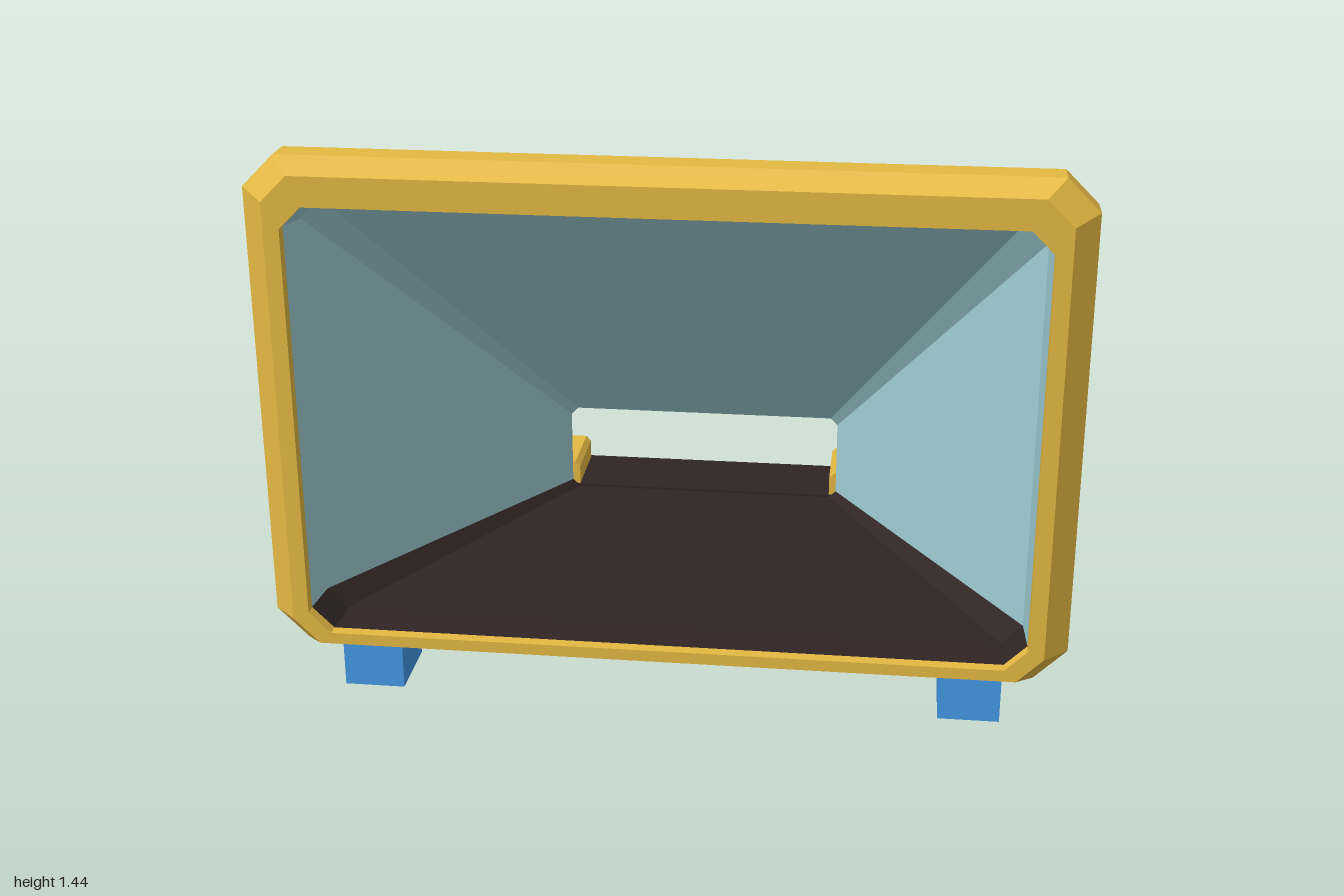
import * as THREE from 'three';

const mat = (name, color) => {
  const m = new THREE.MeshStandardMaterial({ color, side: THREE.DoubleSide, flatShading: true });
  m.name = name;
  return m;
};

// Rectangle with cut corners at depth z: eight points, bottom edge first
function ring(z, hw, y0, y1, c) {
  return [
    [-hw + c, y0, z], [hw - c, y0, z], [hw, y0 + c, z], [hw, y1 - c, z],
    [hw - c, y1, z], [-hw + c, y1, z], [-hw, y1 - c, z], [-hw, y0 + c, z],
  ];
}

// Skin joining successive rings (listed back to front), limited to chosen sides
function loft(rings, sides = [0, 1, 2, 3, 4, 5, 6, 7]) {
  const pos = [];
  for (let r = 0; r < rings.length - 1; r++) {
    const a = rings[r], b = rings[r + 1];
    for (const i of sides) {
      const j = (i + 1) % 8;
      pos.push(...a[i], ...a[j], ...b[j], ...a[i], ...b[j], ...b[i]);
    }
  }
  const g = new THREE.BufferGeometry();
  g.setAttribute('position', new THREE.Float32BufferAttribute(pos, 3));
  g.computeVertexNormals();
  return g;
}

// Flat polygon with softened corners, laid onto a surface by a mapping rule
function panel(points, map, r = 0.02) {
  const p = points.map(([x, y]) => new THREE.Vector2(x, y));
  const s = new THREE.Shape();
  p.forEach((v, i) => {
    const prev = p[(i + p.length - 1) % p.length], next = p[(i + 1) % p.length];
    const a = v.clone().add(prev.clone().sub(v).setLength(r));
    const b = v.clone().add(next.clone().sub(v).setLength(r));
    if (i) s.lineTo(a.x, a.y); else s.moveTo(a.x, a.y);
    s.quadraticCurveTo(v.x, v.y, b.x, b.y);
  });
  s.closePath();
  return mapped(new THREE.ShapeGeometry(s, 3), map);
}

function mapped(g, map) {
  const q = g.attributes.position;
  for (let i = 0; i < q.count; i++) q.setXYZ(i, ...map(q.getX(i), q.getY(i)));
  g.computeVertexNormals();
  return g;
}

export function createModel() {
  const model = new THREE.Group();
  model.name = 'hopper';
  const yellow = mat('yellow', 0xe4b842);
  const white = mat('warmWhite', 0xe4e1d7);
  const lining = mat('paleTeal', 0xa0d0d6);
  const dark = mat('darkBelt', 0x302424);
  const blue = mat('blue', 0x4499e6);
  const sky = mat('skyBlue', 0x84c9e2);
  const slate = mat('slate', 0x8f95a8);

  const add = (name, geometry, material, parent = model) => {
    const m = new THREE.Mesh(geometry, material);
    m.name = name;
    parent.add(m);
    return m;
  };
  const box = (name, x0, x1, y0, y1, z0, z1, material, parent) => {
    const m = add(name, new THREE.BoxGeometry(x1 - x0, y1 - y0, z1 - z0), material, parent);
    m.position.set((x0 + x1) / 2, (y0 + y1) / 2, (z0 + z1) / 2);
    return m;
  };

  // Front frame with bevelled rim
  const hullFront = ring(0.45, 0.96, 0.16, 1.385, 0.055);
  add('frontFrame', loft([
    hullFront,
    ring(0.45, 0.975, 0.16, 1.39, 0.065),
    ring(0.47, 1.0, 0.16, 1.437, 0.08),
    ring(0.545, 1.0, 0.16, 1.437, 0.08),
    ring(0.6, 0.94, 0.175, 1.4, 0.065),
    ring(0.6, 0.9, 0.205, 1.325, 0.055),
    ring(0.57, 0.9, 0.205, 1.325, 0.055),
  ]), yellow);

  // Tapered outer shell and the collar round the rear opening
  add('outerShell', loft([ring(-0.36, 0.43, 0.105, 0.515, 0.03), hullFront]), white);
  add('rearCollar', loft([
    ring(-0.383, 0.39, 0.2, 0.45, 0.02),
    ring(-0.383, 0.435, 0.1, 0.515, 0.03),
    ring(-0.375, 0.442, 0.1, 0.522, 0.03),
    ring(-0.36, 0.442, 0.1, 0.522, 0.03),
    ring(-0.355, 0.43, 0.105, 0.515, 0.03),
  ]), white);

  // Inner lining and floor
  const inner = [
    ring(-0.383, 0.39, 0.2, 0.45, 0.02),
    ring(0.45, 0.895, 0.2, 1.305, 0.052),
    ring(0.57, 0.9, 0.205, 1.325, 0.055),
  ];
  add('innerLining', loft(inner, [2, 3, 4, 5, 6]), lining);
  add('innerFloor', loft(inner, [7, 0, 1]), dark);

  // Roof window follows the sloping top
  add('roofWindow', panel(
    [[-0.72, 0.41], [0.72, 0.41], [0.35, -0.3], [-0.35, -0.3]],
    (x, z) => [x, 1.391 - (0.45 - z) * (0.87 / 0.81), z - 0.004],
  ), sky);

  for (const s of [1, -1]) {
    const side = s > 0 ? 'left' : 'right';

    // Side window follows the slanted wall
    add(side + 'Window', panel(
      [[0.415, 0.305], [0.415, 1.19], [-0.29, 0.51], [-0.29, 0.185]],
      (z, y) => [s * (0.965 - (0.45 - z) * (0.53 / 0.81)), y, z - 0.003],
    ), blue);

    // Feet
    box(side + 'FrontFoot', s * 0.77 - 0.078, s * 0.77 + 0.078, 0, 0.172, 0.308, 0.497, blue);
    box(side + 'RearFoot', s * 0.337 - 0.068, s * 0.337 + 0.068, 0, 0.12, -0.572, -0.434, blue);

    // Conveyor cheek with a bevelled top
    const cheek = new THREE.Shape([
      [0.37, 0.075], [0.44, 0.075], [0.44, 0.258], [0.428, 0.273], [0.384, 0.273], [0.37, 0.258],
    ].map(([x, y]) => new THREE.Vector2(s * x, y)));
    const cheekGeo = new THREE.ExtrudeGeometry(cheek, { depth: 0.2, bevelEnabled: false });
    cheekGeo.translate(0, 0, -0.59);
    add(side + 'Cheek', cheekGeo, yellow);

    // Arched panel and bolt on the cheek
    const arch = new THREE.Shape();
    arch.moveTo(-0.53, 0.076);
    arch.lineTo(-0.452, 0.076);
    arch.lineTo(-0.452, 0.157);
    arch.absarc(-0.491, 0.157, 0.039, 0, Math.PI);
    arch.closePath();
    add(side + 'ArchPanel', mapped(new THREE.ShapeGeometry(arch, 10), (z, y) => [s * 0.444, y, z]), lining);
    const bolt = add(side + 'Bolt', new THREE.CylinderGeometry(0.018, 0.018, 0.02, 6), slate);
    bolt.rotation.z = Math.PI / 2;
    bolt.position.set(s * 0.442, 0.152, -0.557);
  }

  // Rear conveyor: dark belt on a pale bed
  box('conveyorBelt', -0.4, 0.4, 0.135, 0.205, -0.6, -0.383, dark);
  box('conveyorBed', -0.4, 0.4, 0.1, 0.135, -0.595, -0.384, white);
  box('conveyorUnderside', -0.37, 0.37, 0.096, 0.1, -0.59, -0.386, slate);

  return model;
}
